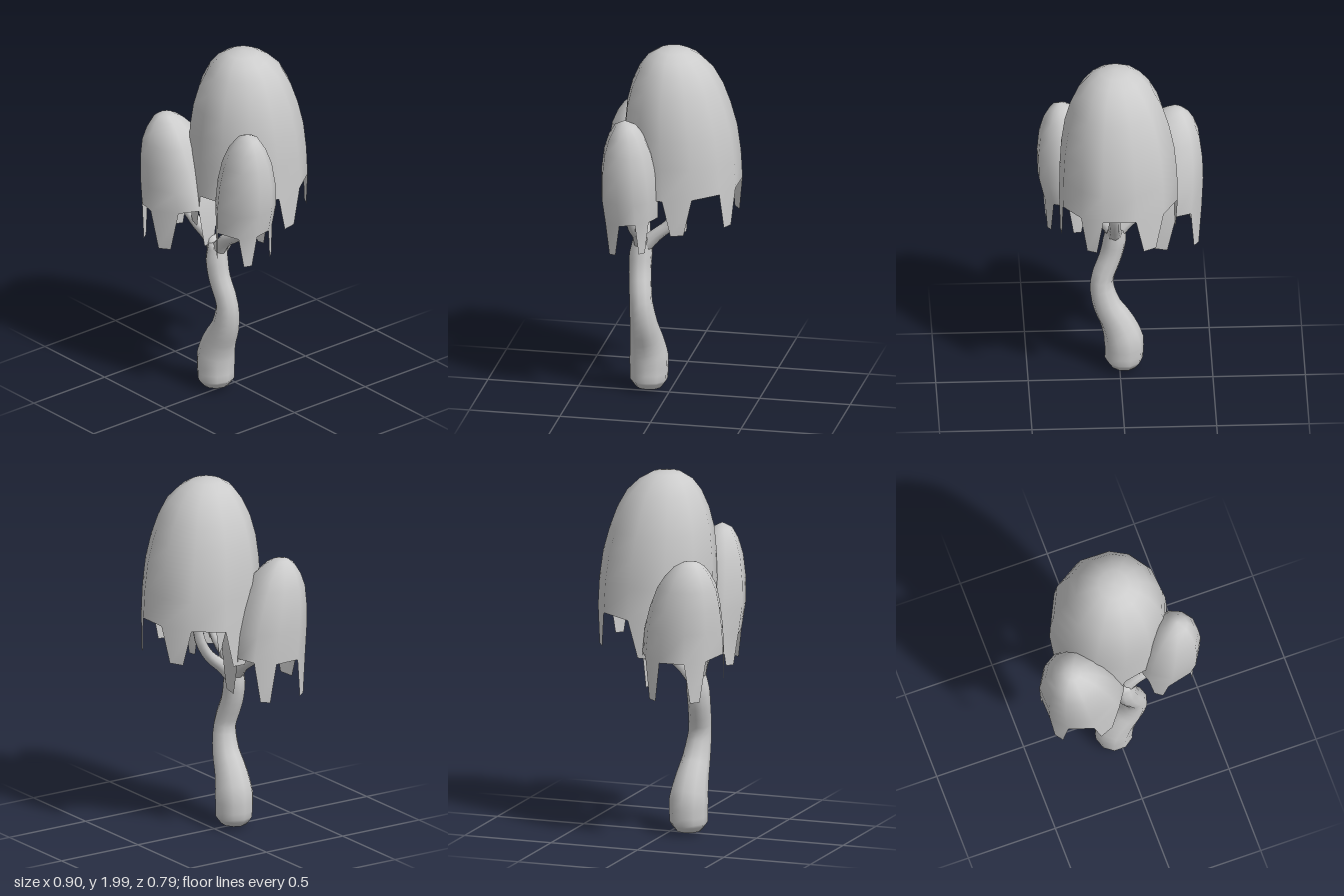
import * as THREE from 'three';

// Skin a list of rings (arrays of Vector3) with quads, plus a centre point closing each requested end
function skin(rings, startTip, endTip, extra) {
  const pos = [], idx = [], n = rings[0].length;
  for (const ring of rings) for (const p of ring) pos.push(p.x, p.y, p.z);
  for (let i = 0; i < rings.length - 1; i++) {
    for (let k = 0; k < n; k++) {
      const a = i * n + k, b = i * n + (k + 1) % n;
      idx.push(a, b, b + n, a, b + n, a + n);
    }
  }
  const add = p => { pos.push(p.x, p.y, p.z); return pos.length / 3 - 1; };
  if (startTip) {
    const c = add(startTip);
    for (let k = 0; k < n; k++) idx.push(c, (k + 1) % n, k);
  }
  if (endTip) {
    const c = add(endTip), o = (rings.length - 1) * n;
    for (let k = 0; k < n; k++) idx.push(c, o + k, o + (k + 1) % n);
  }
  if (extra) extra(add, idx);
  const g = new THREE.BufferGeometry();
  g.setAttribute('position', new THREE.Float32BufferAttribute(pos, 3));
  g.setIndex(idx);
  g.computeVertexNormals();
  return g;
}

// Tapered limb through [x, y, z, radius] points
function limb(points, sides, steps, tipStart, tipEnd) {
  const curve = new THREE.CatmullRomCurve3(points.map(p => new THREE.Vector3(p[0], p[1], p[2])));
  const side = new THREE.Vector3(), up = new THREE.Vector3();
  const rings = [];
  for (let i = 0; i <= steps; i++) {
    const t = i / steps, f = t * (points.length - 1);
    const j = Math.min(Math.floor(f), points.length - 2);
    const r = THREE.MathUtils.lerp(points[j][3], points[j + 1][3], f - j);
    const c = curve.getPoint(t), d = curve.getTangent(t);
    side.crossVectors(d, new THREE.Vector3(0, 0, 1)).normalize();
    up.crossVectors(d, side);
    const ring = [];
    for (let k = 0; k < sides; k++) {
      const a = k / sides * Math.PI * 2;
      ring.push(c.clone().addScaledVector(side, r * Math.cos(a)).addScaledVector(up, r * Math.sin(a)));
    }
    rings.push(ring);
  }
  const start = curve.getPoint(0).addScaledVector(curve.getTangent(0), -tipStart);
  const end = curve.getPoint(1).addScaledVector(curve.getTangent(1), tipEnd);
  return skin(rings, start, end);
}

// Open leafy dome; every second bottom segment hangs down as a tapered strip.
// rows: [y, centre x, centre z, radius] from the rim up; angles: uneven corner directions in degrees
function canopy({ rows, apex, angles, tiltX, tiltZ, drop }) {
  const sides = angles.length;
  const rings = rows.map(([y, cx, cz, r], i) => angles.map(deg => {
    const a = THREE.MathUtils.degToRad(deg);
    const dx = r * Math.sin(a), dz = r * Math.cos(a);
    return new THREE.Vector3(cx + dx, y + (i === 0 ? tiltX * dx + tiltZ * dz : 0), cz + dz);
  }));
  return skin(rings, null, new THREE.Vector3(...apex), (add, idx) => {
    for (let k = 0; k < sides; k += 2) {
      const k2 = (k + 1) % sides, p = rings[0][k], q = rings[0][k2];
      const low = t => { const v = p.clone().lerp(q, t); v.y -= drop; return add(v); };
      const a = low(0.28), b = low(0.72);
      idx.push(a, b, k2, a, k2, k);
    }
  });
}

export function createModel() {
  const group = new THREE.Group();
  const grey = new THREE.MeshStandardMaterial({ color: 0xcccccc, side: THREE.DoubleSide });
  grey.name = 'plain grey';
  const add = (name, geometry) => {
    const mesh = new THREE.Mesh(geometry, grey);
    mesh.name = name;
    group.add(mesh);
  };

  // Winding trunk with a swollen foot
  add('trunk', limb([
    [-0.02, 0.025, 0.115, 0.07], [-0.022, 0.07, 0.115, 0.103], [-0.022, 0.19, 0.115, 0.107],
    [0.013, 0.3, 0.12, 0.092], [0.07, 0.41, 0.125, 0.076], [0.096, 0.55, 0.135, 0.062],
    [0.048, 0.7, 0.15, 0.062], [0.027, 0.8, 0.15, 0.063], [0.022, 0.89, 0.14, 0.052],
  ], 10, 24, 0.02, 0.02));

  // Three branches reaching into the canopies
  add('rightBranch', limb([
    [0.02, 0.85, 0.145, 0.045], [-0.05, 0.92, 0.15, 0.036], [-0.12, 0.97, 0.165, 0.033],
    [-0.22, 1.04, 0.175, 0.024],
  ], 8, 9, 0.01, 0.02));
  add('leftBranch', limb([
    [0.025, 0.85, 0.145, 0.045], [0.1, 0.94, 0.15, 0.036], [0.2, 1.0, 0.155, 0.029],
    [0.26, 1.06, 0.16, 0.024], [0.275, 1.1, 0.16, 0.018],
  ], 8, 12, 0.01, 0.02));
  add('backBranch', limb([
    [0.025, 0.84, 0.14, 0.045], [0.03, 0.91, 0.07, 0.036], [0.033, 0.98, -0.01, 0.032],
    [0.033, 1.08, -0.07, 0.03], [0.03, 1.2, -0.09, 0.026], [0.03, 1.31, -0.085, 0.017],
  ], 8, 15, 0.01, 0.02));

  // Drooping canopies
  add('mainCanopy', canopy({
    rows: [
      [1.22, 0.015, -0.08, 0.323], [1.4, 0.015, -0.075, 0.32], [1.55, 0.018, -0.067, 0.308],
      [1.68, 0.022, -0.056, 0.284], [1.79, 0.024, -0.05, 0.25], [1.885, 0.028, -0.045, 0.203],
      [1.95, 0.028, -0.035, 0.145], [1.985, 0.029, -0.032, 0.085],
    ],
    apex: [0.03, 2.0, -0.03], angles: [-33, -3, 25, 55, 81, 110, 139, 163, 195, 227, 261, 296],
    tiltX: 0, tiltZ: -0.08, drop: 0.2,
  }));
  add('rightCanopy', canopy({
    rows: [
      [1.07, -0.225, 0.168, 0.228], [1.2, -0.243, 0.178, 0.218], [1.32, -0.26, 0.192, 0.197],
      [1.43, -0.275, 0.207, 0.166], [1.5, -0.287, 0.217, 0.127], [1.55, -0.297, 0.224, 0.085],
      [1.575, -0.303, 0.23, 0.045],
    ],
    apex: [-0.305, 1.585, 0.232], angles: [-3, 42, 70, 105, 155, 199, 223, 254, 290, 321],
    tiltX: 0.15, tiltZ: 0, drop: 0.22,
  }));
  add('leftCanopy', canopy({
    rows: [
      [1.09, 0.26, 0.158, 0.155], [1.22, 0.278, 0.163, 0.167], [1.36, 0.29, 0.167, 0.159],
      [1.48, 0.3, 0.171, 0.137], [1.57, 0.308, 0.175, 0.103], [1.635, 0.316, 0.178, 0.06],
    ],
    apex: [0.32, 1.665, 0.18], angles: [-56, -14, 40, 78, 110, 140, 172, 210, 245, 275],
    tiltX: 0, tiltZ: -0.1, drop: 0.17,
  }));

  return group;
}
